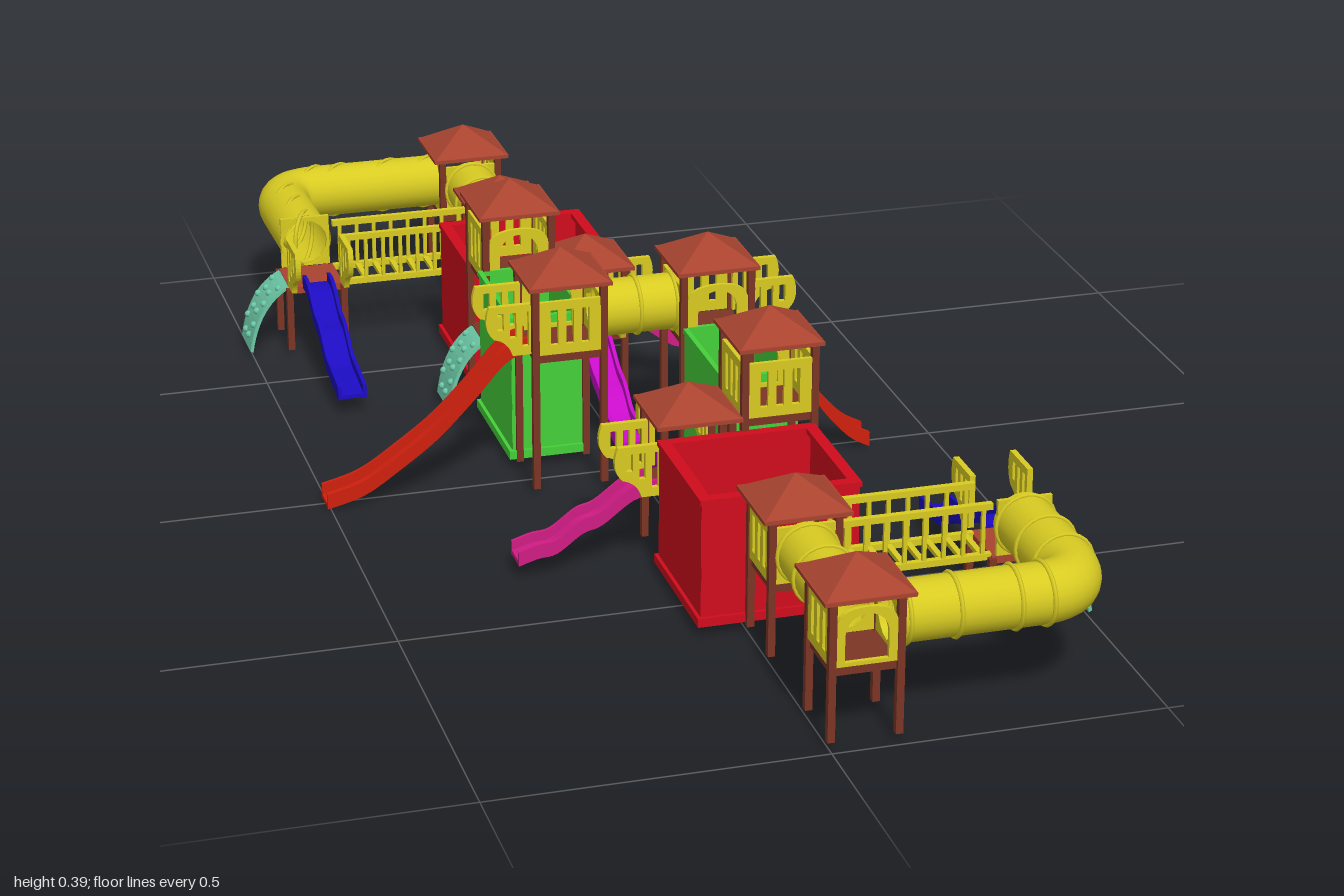
import * as THREE from 'three';

const mat = (color, double) => new THREE.MeshStandardMaterial({ color, side: double ? THREE.DoubleSide : THREE.FrontSide });
const M = {
  roof: mat(0xa8432f), post: mat(0x7c3524), yellow: mat(0xd8cb22), tube: mat(0xd8cb22, true), red: mat(0xd00c1c), slide: mat(0xd0200e),
  green: mat(0x46d03a), teal: mat(0x6cc8a6), blue: mat(0x1c0cc0), magenta: mat(0xc80cc8), pink: mat(0xd01c84),
};
M.roof.flatShading = true;

function add(parent, name, geo, material, x = 0, y = 0, z = 0) {
  const m = new THREE.Mesh(geo, material);
  m.name = name;
  m.position.set(x, y, z);
  parent.add(m);
  return m;
}
const box = (p, name, m, w, h, d, x, y, z) => add(p, name, new THREE.BoxGeometry(w, h, d), m, x, y, z);
const group = (p, name, x, y, z, ry = 0) => {
  const g = new THREE.Group();
  g.name = name;
  g.position.set(x, y, z);
  g.rotation.y = ry;
  p.add(g);
  return g;
};
const extrude = (shape, depth) => new THREE.ExtrudeGeometry(shape, { depth, bevelEnabled: false, curveSegments: 8 }).translate(0, 0, -depth / 2);
const rectPath = (x0, y0, x1, y1) => new THREE.Path([[x0, y0], [x1, y0], [x1, y1], [x0, y1]].map(p => new THREE.Vector2(...p)));

// Guard panel with upright slots
function slotPanel(w, h) {
  const s = new THREE.Shape(rectPath(-w / 2, 0, w / 2, h).getPoints());
  for (let i = -1; i <= 1; i++) s.holes.push(rectPath(i * 0.025 - 0.006, 0.016, i * 0.025 + 0.006, h - 0.014));
  return extrude(s, 0.007);
}
// Doorway panel with a round-topped opening
function archPanel(w, h) {
  const s = new THREE.Shape(rectPath(-w / 2, 0, w / 2, h - 0.03).getPoints().slice(0, 2));
  s.lineTo(w / 2, h - 0.03).quadraticCurveTo(w / 2, h, 0, h).quadraticCurveTo(-w / 2, h, -w / 2, h - 0.03);
  const hole = new THREE.Path();
  hole.moveTo(-0.032, 0.006).lineTo(0.032, 0.006).lineTo(0.032, 0.046).absarc(0, 0.046, 0.032, 0, Math.PI).lineTo(-0.032, 0.006);
  s.holes.push(hole);
  return extrude(s, 0.007);
}
// Tube entrance panel
function ringPanel(w, h) {
  const s = new THREE.Shape(rectPath(-w / 2, 0, w / 2, h).getPoints());
  s.holes.push(new THREE.Path().absarc(0, h / 2, 0.038, 0, Math.PI * 2));
  return extrude(s, 0.007);
}
// Shaped side panel beside a slide entrance
function wingPanel() {
  const s = new THREE.Shape();
  s.moveTo(0, 0).lineTo(0.035, 0).quadraticCurveTo(0.042, 0.025, 0.065, 0.03)
    .quadraticCurveTo(0.085, 0.05, 0.072, 0.084).lineTo(0, 0.084).closePath();
  for (const [x, y] of [[0.014, 0.014], [0.034, 0.03], [0.054, 0.044]]) s.holes.push(rectPath(x - 0.005, y, x + 0.005, 0.072));
  return extrude(s, 0.009);
}

const SIDES = { front: 0, left: Math.PI / 2, back: Math.PI, right: -Math.PI / 2 };
const PANELS = { slot: slotPanel, arch: archPanel, ring: ringPanel };

// Post-and-deck tower; panels maps a side to a panel kind
function tower(p, name, x, z, { half = 0.05, eave, deck, lowDeck, panels = {} }) {
  const g = group(p, name, x, 0, z);
  const top = eave ?? deck;
  for (const sx of [-1, 1]) for (const sz of [-1, 1])
    box(g, 'post', M.post, 0.011, top - 0.01, 0.011, sx * half, 0.01 + (top - 0.01) / 2, sz * half);
  for (const y of lowDeck ? [deck, lowDeck] : [deck]) box(g, 'deck', eave ? M.post : M.roof, half * 2, 0.012, half * 2, 0, y - 0.004, 0);
  for (const side in panels) {
    const s = group(g, side + 'Side', 0, deck + 0.004, 0, SIDES[side]);
    add(s, panels[side] + 'Panel', PANELS[panels[side]](half * 2 - 0.01, 0.088), M.yellow, 0, 0, half);
  }
  if (eave) {
    const roof = new THREE.ConeGeometry(0.066 * Math.SQRT2, 0.042, 4).rotateY(Math.PI / 4);
    add(g, 'roof', roof, M.roof, 0, eave + 0.025, 0);
    box(g, 'eave', M.roof, 0.134, 0.006, 0.134, 0, eave + 0.002, 0);
  }
  return g;
}

// Trough slide running along +x, path points are [distance, height]
function slide(p, name, x, z, ry, path, m, railY, wall = 0.018) {
  const g = group(p, name, x, 0, z, ry);
  const pts = new THREE.SplineCurve(path.map(q => new THREE.Vector2(...q))).getPoints(36);
  const strip = (lo, hi) => new THREE.Shape([...pts.map(q => new THREE.Vector2(q.x, q.y + lo)),
    ...pts.slice().reverse().map(q => new THREE.Vector2(q.x, q.y + hi))]);
  add(g, 'slideBed', extrude(strip(-0.004, 0.003), 0.044), m);
  for (const s of [-1, 1]) {
    add(g, 'slideWall', extrude(strip(-0.005, wall), 0.006), m, 0, 0, s * 0.021);
    add(g, 'entranceWing', wingPanel(), M.yellow, 0, railY, s * 0.045);
  }
}

// Crawl tube with joint collars at the given fractions
function crawlTube(p, name, curve, joints, segments) {
  const g = group(p, name, 0, 0, 0);
  add(g, 'tubeShell', new THREE.TubeGeometry(curve, segments, 0.045, 24), M.tube);
  for (const t of joints) {
    const c = add(g, 'collar', new THREE.TorusGeometry(0.046, 0.0035, 6, 24), M.yellow);
    c.position.copy(curve.getPointAt(t));
    c.lookAt(c.position.clone().add(curve.getTangentAt(t)));
  }
}

// Open-topped enclosure with a base curb
function pit(p, name, m, x0, x1, z0, z1, top, rim) {
  const g = group(p, name, (x0 + x1) / 2, 0, (z0 + z1) / 2), w = x1 - x0, d = z1 - z0, h = top - 0.015;
  box(g, 'floor', m, w, 0.014, d, 0, 0.022, 0);
  for (const s of [-1, 1]) {
    box(g, 'sideWall', m, 0.005, h, d - 0.012, s * (w / 2 - 0.008), 0.015 + h / 2, 0);
    box(g, 'endWall', m, w - 0.012, h, 0.005, 0, 0.015 + h / 2, s * (d / 2 - 0.008));
    box(g, 'sideRim', m, rim, 0.008, d - 0.006, s * (w / 2 - rim / 2 - 0.003), top - 0.004, 0);
    box(g, 'endRim', m, w - 0.006, 0.008, rim, 0, top - 0.004, s * (d / 2 - rim / 2 - 0.003));
  }
  return g;
}

// Curved climbing wall leaning out along +x
function climber(p, x, z, reach) {
  const g = group(p, 'climbingWall', x, 0, z);
  const curve = new THREE.QuadraticBezierCurve(new THREE.Vector2(0, 0.122), new THREE.Vector2(reach * 0.8, 0.095), new THREE.Vector2(reach, 0.01));
  const pts = curve.getPoints(12);
  const shape = new THREE.Shape([...pts, ...pts.slice().reverse().map(q => new THREE.Vector2(q.x - 0.005, q.y - 0.003))]);
  add(g, 'climbingSheet', extrude(shape, 0.08), M.teal);
  for (let i = 0; i < 6; i++) for (const s of [-1, 1]) {
    const q = curve.getPoint(0.12 + i * 0.15);
    add(g, 'grip', new THREE.SphereGeometry(0.006, 8, 6), M.teal, q.x + 0.001, q.y, s * (i % 2 ? 0.013 : 0.026));
  }
}

function buildHalf(p, longSlide) {
  // Low roofed towers and the open slide deck
  tower(p, 'endTower', 0.053, 0.932, { eave: 0.226, deck: 0.12, panels: { front: 'arch', right: 'slot', back: 'ring', left: 'ring' } });
  tower(p, 'bridgeTower', 0.053, 0.66, { eave: 0.226, deck: 0.12, panels: { front: 'ring', right: 'slot', back: 'arch' } });
  tower(p, 'slideDeck', 0.388, 0.66, { half: 0.047, deck: 0.12, panels: { front: 'ring' } });
  tower(p, 'lowTower', -0.007, 0.322, { half: 0.053, eave: 0.236, deck: 0.12 });
  // High towers
  tower(p, 'highTower', 0.12, 0.322, { half: 0.055, eave: 0.346, deck: 0.232, lowDeck: 0.12, panels: { front: 'slot', left: 'slot', right: 'slot', back: 'arch' } });
  tower(p, 'centreTower', 0.12, 0, { half: 0.055, eave: 0.346, deck: 0.232, panels: { front: 'arch', back: 'slot', right: 'ring' } });

  // Crawl tubes
  const v = (x, z) => new THREE.Vector3(x, 0.172, z);
  crawlTube(p, 'straightTube', new THREE.LineCurve3(v(0.053, 0.71), v(0.053, 0.885)), [0.08, 0.5, 0.92], 4);
  const bend = new THREE.CurvePath();
  bend.add(new THREE.LineCurve3(v(0.1, 0.933), v(0.32, 0.933)));
  bend.add(new THREE.QuadraticBezierCurve3(v(0.32, 0.933), v(0.391, 0.933), v(0.391, 0.86)));
  bend.add(new THREE.LineCurve3(v(0.391, 0.86), v(0.388, 0.7)));
  crawlTube(p, 'cornerTube', bend, [0.04, 0.19, 0.37, 0.46, 0.69, 0.82, 0.97], 48);

  // Slatted bridge
  const bridge = group(p, 'bridge', 0.224, 0, 0.66);
  for (let i = 0; i < 8; i++) box(bridge, 'slat', M.yellow, 0.009, 0.007, 0.074, -0.105 + i * 0.03, 0.12, 0);
  for (const s of [-1, 1]) {
    for (const y of [0.12, 0.2]) box(bridge, 'rail', M.yellow, 0.236, 0.01, 0.01, 0, y, s * 0.037);
    for (let i = 0; i < 8; i++) box(bridge, 'baluster', M.yellow, 0.006, 0.08, 0.006, -0.105 + i * 0.03, 0.16, s * 0.037);
  }

  // Climbing walls
  climber(p, 0.437, 0.66, 0.068);
  climber(p, 0.178, 0.325, 0.06);

  // Slides
  slide(p, 'blueSlide', 0.388, 0.613, Math.PI / 2, [[0, 0.125], [0.04, 0.122], [0.09, 0.092], [0.13, 0.082], [0.18, 0.05], [0.22, 0.042], [0.28, 0.032]], M.blue, 0.126);
  slide(p, 'pinkSlide', -0.06, 0.328, Math.PI, [[0, 0.122], [0.04, 0.115], [0.09, 0.08], [0.12, 0.07], [0.16, 0.042], [0.19, 0.037], [0.22, 0.028]], M.pink, 0.126);
  slide(p, 'magentaSlide', -0.003, 0.27, Math.PI / 2, [[0, 0.122], [0.04, 0.116], [0.09, 0.084], [0.13, 0.07], [0.17, 0.042], [0.2, 0.036], [0.24, 0.028]], M.magenta, 0.126);
  const run = longSlide ? [[0, 0.236], [0.04, 0.22], [0.09, 0.165], [0.15, 0.105], [0.21, 0.06], [0.27, 0.022], [0.33, 0.005]]
    : [[0, 0.236], [0.035, 0.222], [0.075, 0.175], [0.11, 0.115], [0.14, 0.07], [0.18, 0.026], [0.215, 0.005]];
  slide(p, 'tallSlide', 0.175, 0, 0, run, M.slide, 0.237, 0.02);

  // Red enclosure
  const red = pit(p, 'redEnclosure', M.red, -0.075, 0.178, 0.375, 0.607, 0.217, 0.018);
  box(red, 'floorMat', M.red, 0.17, 0.012, 0.17, 0, 0.03, 0);
  box(red, 'centrePad', M.red, 0.034, 0.008, 0.034, 0, 0.039, 0);

  // Ball pit with scattered balls
  const ballPit = pit(p, 'ballPit', M.green, 0.06, 0.192, 0.05, 0.272, 0.257, 0.008);
  const colours = [M.red, M.yellow, M.blue, M.green, M.yellow];
  const ball = new THREE.SphereGeometry(0.0105, 10, 8);
  let seed = 7;
  const rnd = () => (seed = (seed * 16807) % 2147483647) / 2147483647;
  for (let i = 0; i < 70; i++)
    add(ballPit, 'ball', ball, colours[i % 5], (rnd() - 0.5) * 0.088, 0.04 + rnd() * 0.06, (rnd() - 0.5) * 0.18);
}

export function createModel() {
  const model = new THREE.Group();
  model.name = 'playground';
  // Two halves, turned half a circle from each other
  buildHalf(group(model, 'frontHalf', 0, 0, 0), false);
  buildHalf(group(model, 'backHalf', 0, 0, 0, Math.PI), true);
  // Tube joining the two centre towers
  crawlTube(model, 'centreTube', new THREE.LineCurve3(new THREE.Vector3(-0.068, 0.282, 0), new THREE.Vector3(0.068, 0.282, 0)), [0.06, 0.5, 0.94], 4);
  return model;
}
